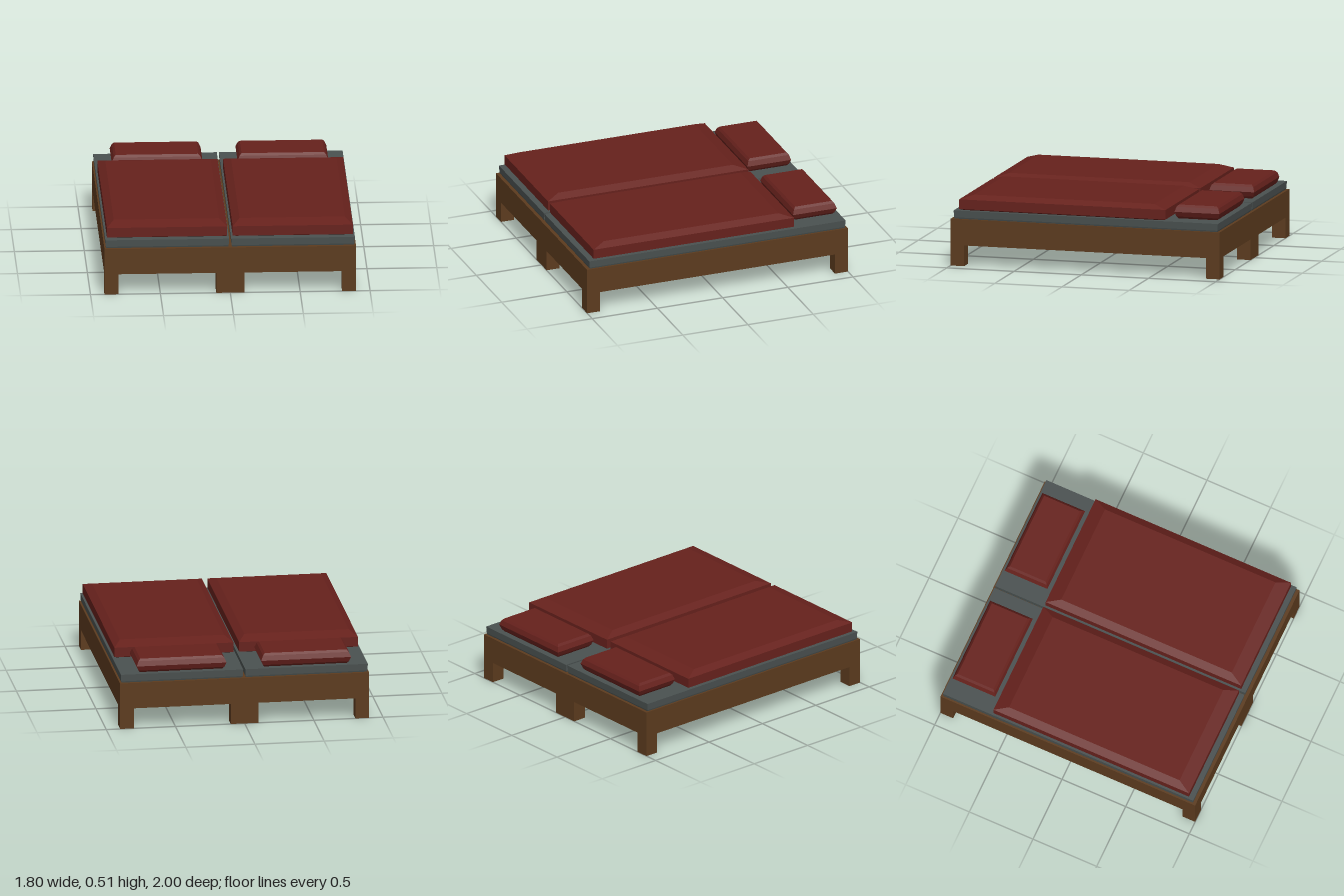
import * as THREE from 'three';

const material = (color) => new THREE.MeshStandardMaterial({ color, flatShading: true });

// Faceted solid stacked from rectangles: each level is [y, insetX, insetZ]
function cushion(width, depth, levels) {
  const pos = [], index = [];
  for (const [y, ix, iz] of levels) {
    const x = width / 2 - ix, z = depth / 2 - iz;
    pos.push(-x, y, z, x, y, z, x, y, -z, -x, y, -z);
  }
  for (let l = 0; l < levels.length - 1; l++) {
    for (let i = 0; i < 4; i++) {
      const a = l * 4 + i, b = l * 4 + (i + 1) % 4;
      index.push(a, b, b + 4, a, b + 4, a + 4);
    }
  }
  const t = (levels.length - 1) * 4;
  index.push(0, 2, 1, 0, 3, 2, t, t + 1, t + 2, t, t + 2, t + 3);
  const geo = new THREE.BufferGeometry();
  geo.setAttribute('position', new THREE.Float32BufferAttribute(pos, 3));
  geo.setIndex(index);
  const flat = geo.toNonIndexed();
  flat.computeVertexNormals();
  return flat;
}

export function createModel() {
  const bed = new THREE.Group();
  bed.name = 'doubleBed';
  const wood = material(0x5c3b1e);
  const slate = material(0x4a5150);
  const red = material(0x66211c);

  const add = (name, geometry, mat, x, y, z) => {
    const mesh = new THREE.Mesh(geometry, mat);
    mesh.name = name;
    mesh.position.set(x, y, z);
    bed.add(mesh);
  };

  // Wooden base
  add('bedFrame', new THREE.BoxGeometry(1.8, 0.19, 2), wood, 0, 0.245, 0);

  // Corner legs and the wide middle legs at both ends
  for (const z of [-0.95, 0.95]) {
    for (const [x, w] of [[-0.85, 0.1], [0, 0.2], [0.85, 0.1]]) {
      add(x === 0 ? 'middleLeg' : 'cornerLeg', new THREE.BoxGeometry(w, 0.15, 0.1), wood, x, 0.075, z);
    }
  }

  // Bedding for each side
  const mattress = cushion(0.885, 1.965, [[0.34, 0.006, 0.006], [0.35, 0.003, 0.003], [0.4, 0, 0]]);
  const duvet = cushion(0.86, 1.535, [[0.4, 0.025, 0.025], [0.41, 0, 0], [0.48, 0, 0], [0.51, 0.053, 0.098]]);
  const pillow = cushion(0.65, 0.335, [
    [0.4, 0.027, 0.025], [0.415, 0.015, 0.012], [0.45, 0, 0], [0.485, 0.015, 0.012], [0.5, 0.03, 0.027],
  ]);
  for (const side of [-1, 1]) {
    add('mattress', mattress, slate, side * 0.45, 0, -0.002);
    add('duvet', duvet, red, side * 0.45, 0, 0.175);
    add('pillow', pillow, red, side * 0.45, 0, -0.795);
  }
  return bed;
}
